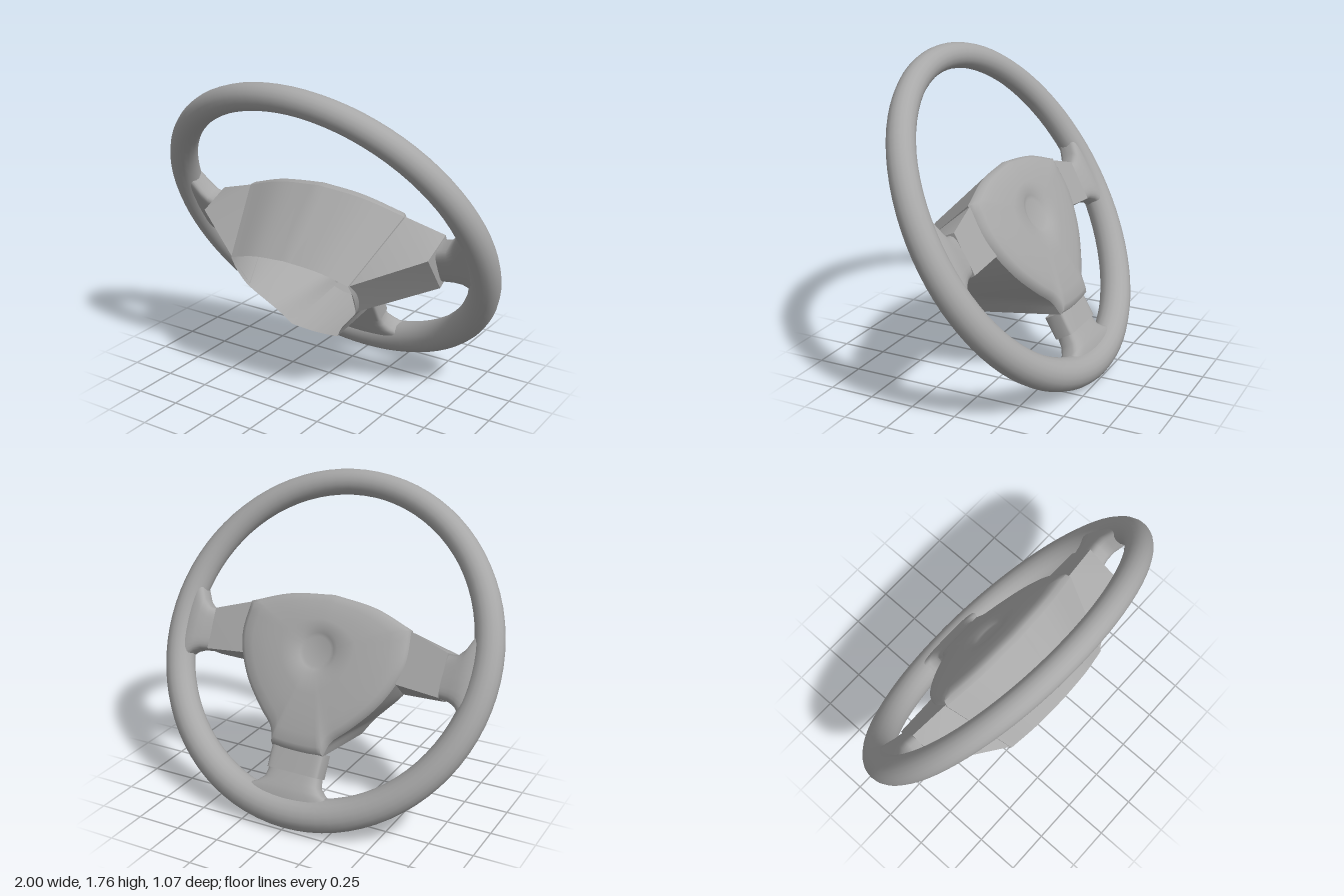
import * as THREE from 'three';
import { toCreasedNormals } from 'three/addons/utils/BufferGeometryUtils.js';

const grey = new THREE.MeshStandardMaterial({ color: 0xa8a8a8, side: THREE.DoubleSide });
grey.name = 'grey plastic';

// Skin a list of closed rings of [x, y, z] points
function loft(rings, { closed = false, capStart = false, capEnd = false, crease = 0.6 } = {}) {
  const n = rings[0].length;
  const pos = rings.flat(2);
  const idx = [];
  const last = closed ? rings.length : rings.length - 1;
  for (let i = 0; i < last; i++) {
    const a = i * n, b = ((i + 1) % rings.length) * n;
    for (let j = 0; j < n; j++) {
      const k = (j + 1) % n;
      idx.push(a + j, b + j, b + k, a + j, b + k, a + k);
    }
  }
  const cap = (ring, start, flip) => {
    const c = pos.length / 3;
    for (let d = 0; d < 3; d++) pos.push(ring.reduce((s, p) => s + p[d], 0) / n);
    for (let j = 0; j < n; j++) {
      const k = (j + 1) % n;
      idx.push(c, start + (flip ? k : j), start + (flip ? j : k));
    }
  };
  if (capStart) cap(rings[0], 0, false);
  if (capEnd) cap(rings[rings.length - 1], (rings.length - 1) * n, true);
  const g = new THREE.BufferGeometry();
  g.setAttribute('position', new THREE.Float32BufferAttribute(pos, 3));
  g.setIndex(idx);
  return toCreasedNormals(g, crease);
}

function part(name, geometry) {
  const m = new THREE.Mesh(geometry, grey);
  m.name = name;
  return m;
}

// Rim: a tube that grows thicker toward the bottom, outer radius 1
function rimGeometry() {
  const rings = [];
  for (let i = 0; i < 80; i++) {
    const a = (i / 80) * Math.PI * 2;
    const r = 0.071 + 0.01 * (1 - Math.sin(a));
    const ring = [];
    for (let j = 0; j < 18; j++) {
      const b = (j / 18) * Math.PI * 2;
      const d = 1 - r + r * Math.cos(b);
      ring.push([d * Math.cos(a), d * Math.sin(a), r * Math.sin(b)]);
    }
    rings.push(ring);
  }
  return loft(rings, { closed: true });
}

// Rounded-box sections along x: [x, midY, halfY, midZ, halfZ]
function armGeometry(sections, power = 0.5) {
  const soft = (c) => Math.sign(c) * Math.abs(c) ** power;
  const rings = sections.map(([x, my, hy, mz, hz]) =>
    Array.from({ length: 28 }, (_, j) => {
      const b = (j / 28) * Math.PI * 2;
      return [x, my + hy * soft(Math.cos(b)), mz + hz * soft(Math.sin(b))];
    }));
  return loft(rings, { capStart: true, capEnd: true, crease: 0.8 });
}

// Closed mirrored outline: smooth runs joined at sharp corners
function outline(runs) {
  const half = [];
  runs.forEach((run, i) => {
    const curve = new THREE.CatmullRomCurve3(run.map(([x, y]) => new THREE.Vector3(x, y, 0)));
    const steps = [12, 20, 6][i];
    for (let s = i ? 1 : 0; s <= steps; s++) {
      const p = curve.getPoint(s / steps);
      half.push([p.x, p.y]);
    }
  });
  const mirror = half.slice(1, -1).reverse().map(([x, y]) => [-x, y]);
  return [...half, ...mirror];
}

// Hub: domed pad with a round dimple, and a skirt left open at its far end
function hubGeometries() {
  const edge = outline([
    [[0, 0.283], [0.26, 0.25], [0.49, 0.17]],
    [[0.49, 0.17], [0.5, 0], [0.47, -0.12], [0.39, -0.27], [0.27, -0.41], [0.18, -0.5], [0.155, -0.58]],
    [[0.155, -0.58], [0.08, -0.588], [0, -0.59]],
  ]);
  const open = outline([
    [[0, 0.165], [0.2, 0.143], [0.37, 0.085]],
    [[0.37, 0.085], [0.375, 0], [0.36, -0.1], [0.34, -0.15], [0.26, -0.25], [0.21, -0.31], [0.15, -0.41]],
    [[0.15, -0.41], [0.08, -0.42], [0, -0.425]],
  ]);
  const cy = -0.04;
  const circle = (r, z) => edge.map(([x, y]) => {
    const d = Math.hypot(x, y - cy);
    return [(x / d) * r, cy + ((y - cy) / d) * r, z];
  });
  const spread = (s, z) => circle(0.125, z).map(([x, y], i) =>
    [x + (edge[i][0] - x) * s, y + (edge[i][1] - y) * s, z]);
  const pad = [
    circle(0.08, -0.088), circle(0.1, -0.094), circle(0.125, -0.108),
    spread(0.25, -0.108), spread(0.5, -0.103), spread(0.75, -0.095),
    spread(0.9, -0.084), spread(0.97, -0.07), spread(1, -0.042),
  ];
  const skirt = [0, 0.2, 0.4, 0.6, 0.8, 1].map((t) => edge.map(([x, y], i) => [
    x + (open[i][0] - x) * t, y + (open[i][1] - y) * t, -0.042 + 0.445 * t]));
  return {
    pad: loft(pad, { capStart: true, crease: 1 }),
    skirt: loft(skirt, { crease: 0.7 }),
  };
}

export function createModel() {
  const model = new THREE.Group();
  model.name = 'steeringWheel';

  // Everything is built in the plane of the wheel, then tilted
  const wheel = new THREE.Group();
  wheel.name = 'tiltedWheel';
  wheel.position.y = 0.884;
  wheel.rotation.x = THREE.MathUtils.degToRad(29.5);
  model.add(wheel);

  wheel.add(part('rim', rimGeometry()));
  const hub = hubGeometries();
  wheel.add(part('hubPad', hub.pad), part('hubSkirt', hub.skirt));

  // Side spokes: wedge covers that deepen toward the hub
  const cover = loft([
    [[0.488, 0.163, -0.05], [0.373, 0.08, 0.395], [0.342, -0.143, 0.392], [0.468, -0.125, -0.05]],
    [[0.71, 0.09, -0.045], [0.71, 0.108, 0.155], [0.7, -0.15, 0.115], [0.705, -0.145, -0.04]],
  ], { capEnd: true, crease: 0.4 });
  // Root of each side spoke, flaring into the rim
  const root = armGeometry([
    [0.69, -0.03, 0.115, 0.03, 0.07], [0.76, -0.03, 0.125, 0.015, 0.066],
    [0.8, -0.02, 0.155, 0.005, 0.065], [0.84, 0, 0.22, 0, 0.062],
    [0.88, 0, 0.28, 0, 0.055], [0.92, 0, 0.25, 0, 0.04],
  ]);
  for (const [side, s] of [['left', 1], ['right', -1]]) {
    const spoke = new THREE.Group();
    spoke.name = side + 'Spoke';
    spoke.scale.x = s;
    spoke.add(part(side + 'SpokeCover', cover), part(side + 'SpokeRoot', root));
    wheel.add(spoke);
  }

  // Bottom spoke: cover and flared root, laid along x then turned downward
  const bottom = new THREE.Group();
  bottom.name = 'bottomSpoke';
  bottom.rotation.z = -Math.PI / 2;
  bottom.add(
    part('bottomSpokeCover', armGeometry([
      [0.57, 0, 0.156, 0.005, 0.06], [0.7, 0, 0.156, 0.005, 0.06],
    ], 0.25)),
    part('bottomSpokeRoot', armGeometry([
      [0.695, 0, 0.152, 0.005, 0.058], [0.75, 0, 0.162, 0.003, 0.062],
      [0.785, 0, 0.2, 0, 0.064], [0.81, 0, 0.26, 0, 0.064],
      [0.86, 0, 0.32, 0, 0.06], [0.91, 0, 0.28, 0, 0.045],
    ])),
  );
  wheel.add(bottom);

  return model;
}
